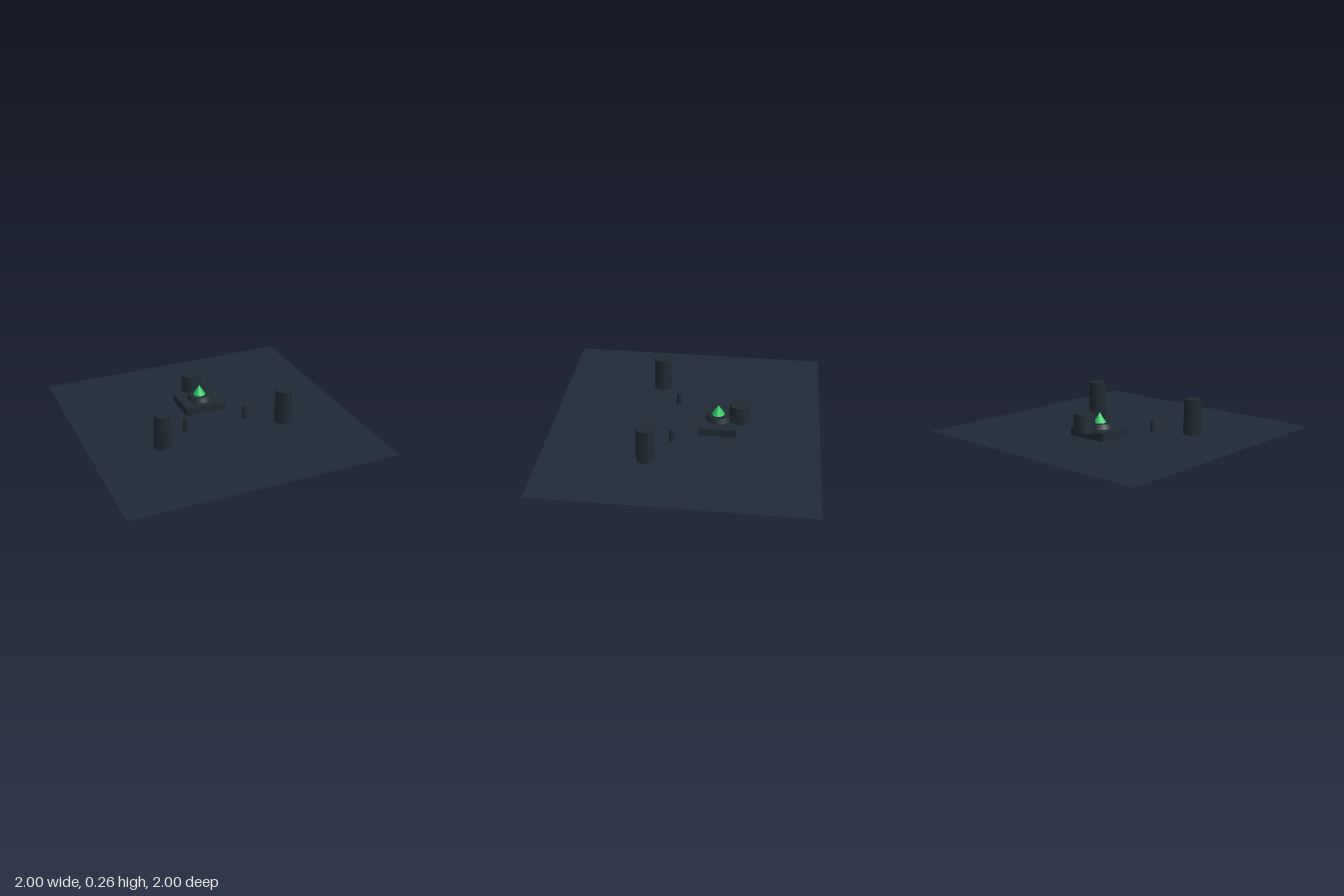
import * as THREE from 'three';

export function createModel() {
  const model = new THREE.Group();
  const material = (name, color) => {
    const m = new THREE.MeshStandardMaterial({ color });
    m.name = name;
    return m;
  };
  const ground = material('slate ground', 0x1f2937);
  ground.side = THREE.DoubleSide;
  const stone = material('dark stone', 0x1f2933);
  const green = material('crystal green', 0x22c55e);

  const add = (name, geometry, mat, x, y, z) => {
    const mesh = new THREE.Mesh(geometry, mat);
    mesh.name = name;
    mesh.position.set(x, y, z);
    model.add(mesh);
  };
  // Tapered round block standing on height y
  const drum = (name, top, bottom, height, sides, x, y, z) =>
    add(name, new THREE.CylinderGeometry(top, bottom, height, sides), stone, x, y + height / 2, z);

  // Ground sheet
  add('ground', new THREE.PlaneGeometry(2, 2).rotateX(-Math.PI / 2), ground, 0, 0, 0);

  // Mirrored pillars and small posts
  for (const [side, s] of [['left', 1], ['right', -1]]) {
    drum(side + 'Pillar', 0.064, 0.07, 0.262, 8, s * 0.48, 0, 0.24);
    drum(side + 'Post', 0.019, 0.026, 0.095, 6, s * 0.24, 0, 0.08);
  }

  // Shrine: square plinth, round step, crystal and the block behind
  add('plinth', new THREE.BoxGeometry(0.32, 0.06, 0.28), stone, 0, 0.03, -0.24);
  drum('step', 0.08, 0.096, 0.035, 16, 0, 0.06, -0.24);
  add('crystal', new THREE.ConeGeometry(0.048, 0.075, 10), green, 0, 0.1325, -0.24);
  drum('rearBlock', 0.073, 0.084, 0.135, 9, 0, 0.055, -0.4);

  return model;
}
